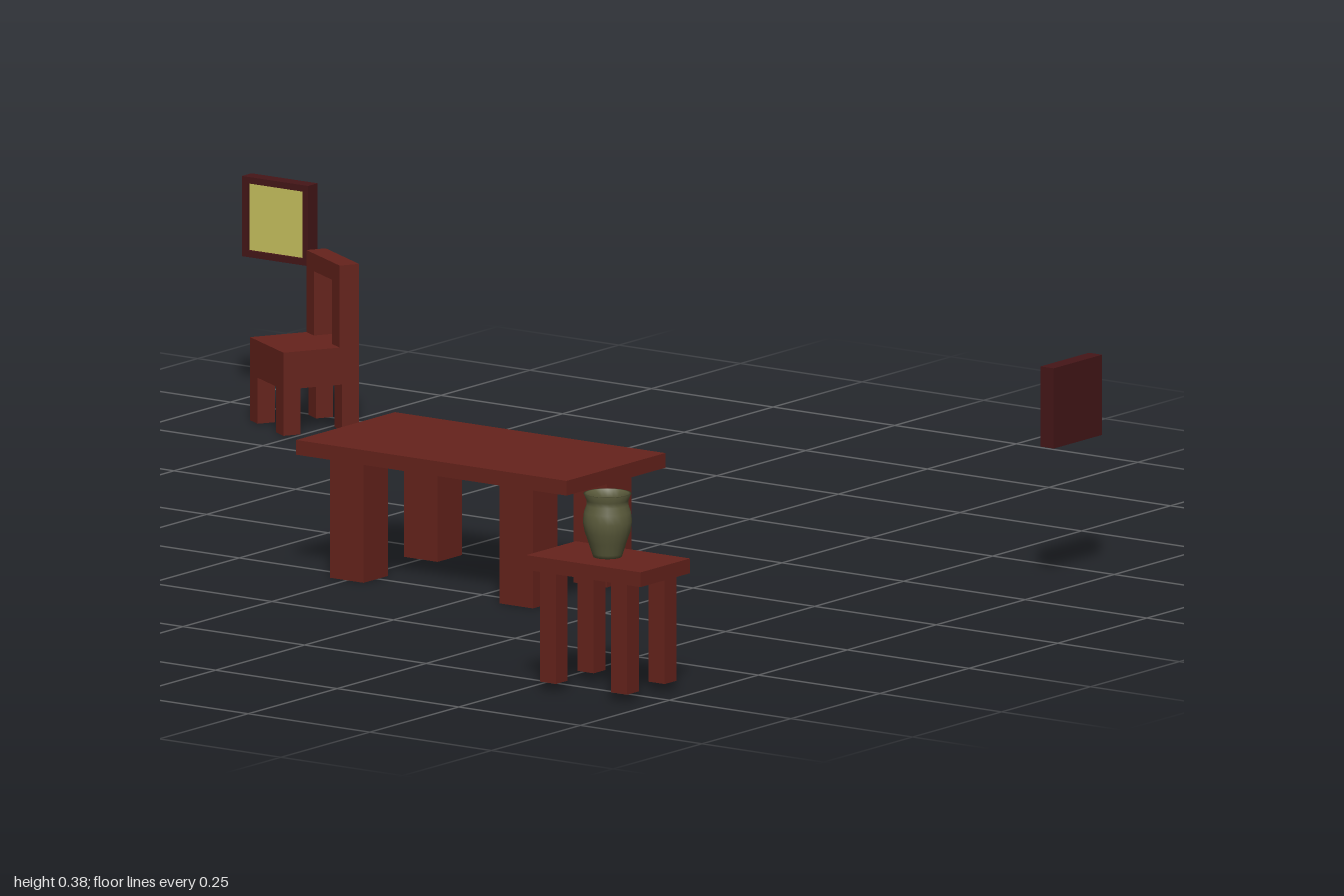
import * as THREE from 'three';

const wood = new THREE.MeshStandardMaterial({ color: 0x66231c });
const darkWood = new THREE.MeshStandardMaterial({ color: 0x451618 });
const canvasMat = new THREE.MeshStandardMaterial({ color: 0xc8c25e });
const clay = new THREE.MeshStandardMaterial({ color: 0x5c5c3c, side: THREE.DoubleSide });

// Box given by its centre in x and z and its bottom height
function box(name, w, h, d, x, y, z, material = wood) {
  const mesh = new THREE.Mesh(new THREE.BoxGeometry(w, h, d), material);
  mesh.position.set(x, y + h / 2, z);
  mesh.name = name;
  return mesh;
}

// Four square legs at (+-dx, +-dz)
function addLegs(group, size, y0, y1, dx, dz) {
  for (const sx of [-1, 1])
    for (const sz of [-1, 1])
      group.add(box('leg', size, y1 - y0, size, sx * dx, y0, sz * dz));
}

function makeTable(name, width, depth, legSize, legBottom, legX) {
  const table = new THREE.Group();
  table.name = name;
  table.add(box('tableTop', width, 0.025, depth, 0, 0.2, 0));
  addLegs(table, legSize, legBottom, 0.2, legX, (depth - legSize) / 2);
  return table;
}

function makeChair() {
  const chair = new THREE.Group();
  chair.name = 'chair';
  const size = 0.137, post = 0.031, backDepth = 0.035;
  const backZ = -(size - backDepth) / 2;
  chair.add(box('seat', size, 0.063, size, 0, 0.078, 0));
  addLegs(chair, post, 0, 0.078, (size - post) / 2, (size - post) / 2);
  // Open backrest: two posts and a top rail
  for (const s of [-1, 1])
    chair.add(box('backPost', post, 0.109, backDepth, s * (size - post) / 2, 0.141, backZ));
  chair.add(box('backRail', size, 0.03, backDepth, 0, 0.25, backZ));
  return chair;
}

// Framed picture facing +z, centred on its origin
function makePicture(name) {
  const picture = new THREE.Group();
  picture.name = name;
  const half = 0.068, border = 0.011, depth = 0.027;
  const inner = half - border;
  const outline = (r) => [[-r, -r], [r, -r], [r, r], [-r, r]].map((p) => new THREE.Vector2(...p));
  const shape = new THREE.Shape(outline(half));
  shape.holes.push(new THREE.Path(outline(inner).reverse()));
  const frame = new THREE.Mesh(
    new THREE.ExtrudeGeometry(shape, { depth, bevelEnabled: false }), darkWood);
  frame.position.z = -depth / 2;
  frame.name = 'frame';
  picture.add(frame);
  picture.add(box('backBoard', inner * 2, inner * 2, 0.015, 0, -inner, -depth / 2 + 0.0075, darkWood));
  picture.add(box('canvas', inner * 2, inner * 2, 0.006, 0, -inner, 0.0045, canvasMat));
  return picture;
}

// Hollow vase with a flared rim
function makeVase() {
  const profile = [
    [0, 0], [0.024, 0], [0.026, 0.006], [0.032, 0.025], [0.038, 0.042], [0.041, 0.06],
    [0.039, 0.076], [0.035, 0.088], [0.035, 0.096], [0.04, 0.107], [0.036, 0.107],
    [0.03, 0.094], [0.034, 0.07], [0.028, 0.03], [0, 0.012],
  ].map((p) => new THREE.Vector2(...p));
  const vase = new THREE.Mesh(new THREE.LatheGeometry(profile, 20), clay);
  vase.name = 'vase';
  return vase;
}

export function createModel() {
  const model = new THREE.Group();
  model.name = 'furnitureSet';
  const place = (part, x, y, z, turn = 0) => {
    part.position.set(x, y, z);
    part.rotation.y = turn;
    model.add(part);
  };

  place(makeTable('largeTable', 0.556, 0.277, 0.069, 0, 0.174), 0.174, 0, 0.151);
  place(makeTable('sideTable', 0.235, 0.139, 0.033, 0.014, 0.073), 0.867, 0, 0.74);
  place(makeVase(), 0.864, 0.225, 0.738);
  place(makeChair(), -0.794, 0, -0.677, -Math.PI / 6);
  place(makePicture('backPicture'), -0.932, 0.31, -0.796);
  place(makePicture('sidePicture'), 0.985, 0.31, -0.4, -Math.PI / 2);
  return model;
}
